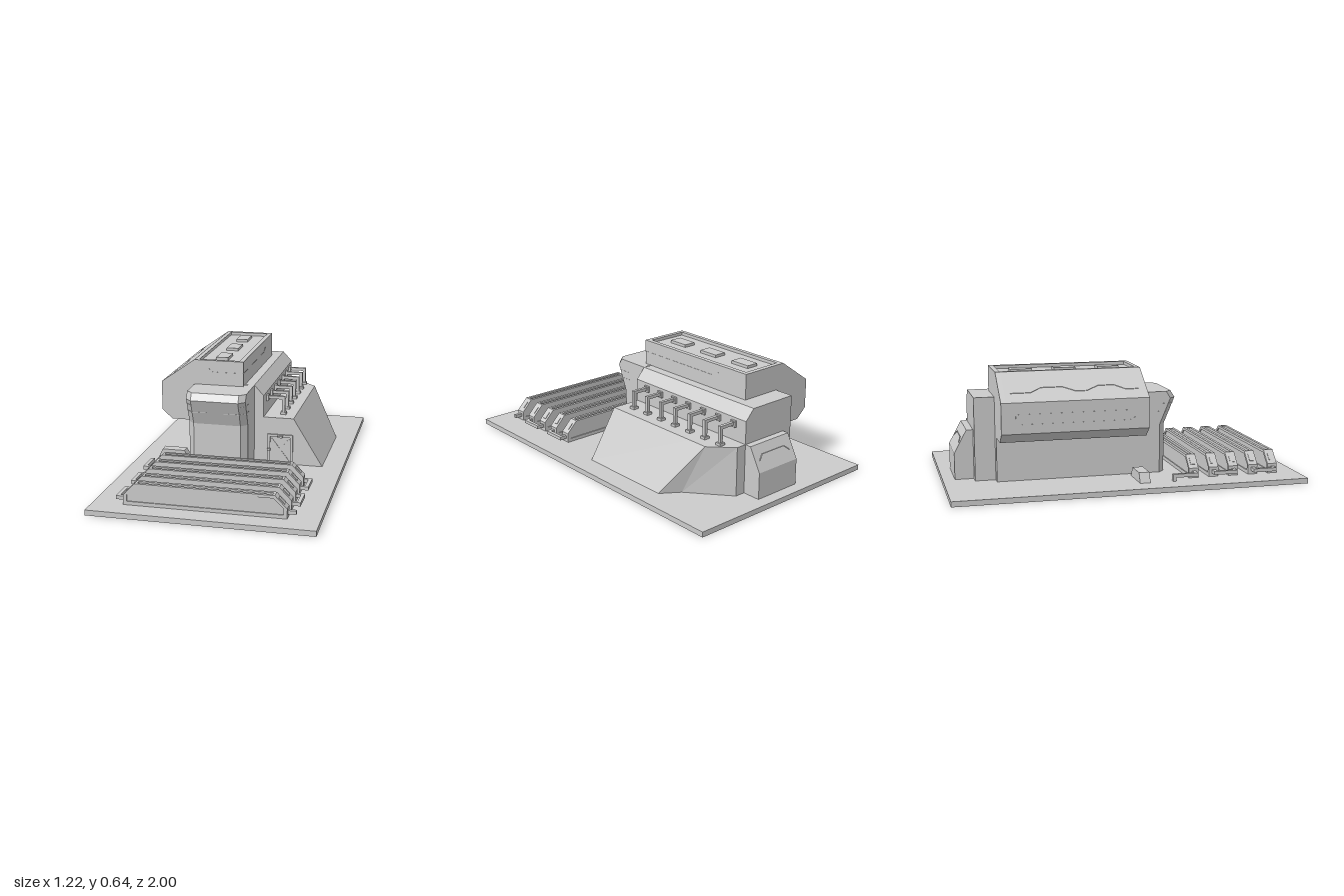
import * as THREE from 'three';

const mat = new THREE.MeshStandardMaterial({ color: 0xcccccc, flatShading: true, side: THREE.DoubleSide });

export function createModel() {
  const root = new THREE.Group();

  const add = (name, geo, parent = root) => {
    const m = new THREE.Mesh(geo, mat);
    m.name = name;
    parent.add(m);
    return m;
  };
  const group = (name) => {
    const g = new THREE.Group();
    g.name = name;
    root.add(g);
    return g;
  };
  const shape = (pts) => new THREE.Shape(pts.map(([x, y]) => new THREE.Vector2(x, y)));
  // box from its limits
  const box = (name, x0, x1, y0, y1, z0, z1, parent) =>
    add(name, new THREE.BoxGeometry(x1 - x0, y1 - y0, z1 - z0), parent)
      .position.set((x0 + x1) / 2, (y0 + y1) / 2, (z0 + z1) / 2);
  // front profile pushed along z, with optional hole
  const extrude = (name, pts, z0, z1, parent, hole) => {
    const s = shape(pts);
    if (hole) s.holes.push(shape(hole));
    const g = new THREE.ExtrudeGeometry(s, { depth: z1 - z0, bevelEnabled: false });
    add(name, g.translate(0, 0, z0), parent);
  };
  // thin flat wall facing front or back
  const wall = (name, pts, z, parent, back) => {
    const g = new THREE.ShapeGeometry(shape(back ? pts.map(([x, y]) => [-x, y]) : pts));
    if (back) g.rotateY(Math.PI);
    add(name, g.translate(0, 0, z), parent);
  };
  const faceted = (pos, idx) => {
    const g = new THREE.BufferGeometry();
    g.setAttribute('position', new THREE.Float32BufferAttribute(pos, 3));
    g.setIndex(idx);
    const flat = g.toNonIndexed();
    flat.computeVertexNormals();
    return flat;
  };
  // thin shell: an open front profile, left to right, carried along z
  const shell = (name, pts, z0, z1, parent) => {
    const pos = [], idx = [];
    pts.forEach(([x, y], i) => {
      pos.push(x, y, z0, x, y, z1);
      if (i) idx.push(2 * i - 2, 2 * i - 1, 2 * i + 1, 2 * i - 2, 2 * i + 1, 2 * i);
    });
    add(name, faceted(pos, idx), parent);
  };
  // walls through plan outlines [y, [[x, z], ...]], capped on top, open below;
  // the side numbered open gets no wall
  const loft = (name, rings, open) => {
    const pos = [], idx = [], n = rings[0][1].length;
    rings.forEach(([y, pts]) => pts.forEach(([x, z]) => pos.push(x, y, z)));
    for (let r = 0; r < rings.length - 1; r++)
      for (let i = 0; i < n; i++) {
        if (i === open) continue;
        const a = r * n + i, b = r * n + (i + 1) % n;
        idx.push(a, b, b + n, a, b + n, a + n);
      }
    const t = (rings.length - 1) * n;
    for (let i = 1; i < n - 1; i++) idx.push(t, t + i, t + i + 1);
    add(name, faceted(pos, idx));
  };
  // square rod following points
  const rod = (name, pts, t, parent) => {
    const v = pts.map((p) => new THREE.Vector3(...p));
    for (let i = 0; i < v.length - 1; i++) {
      const m = add(name, new THREE.BoxGeometry(t, t, v[i].distanceTo(v[i + 1]) + t * 0.9), parent);
      m.position.copy(v[i]).lerp(v[i + 1], 0.5);
      m.lookAt(v[i + 1]);
    }
  };
  const rect = (x0, x1, z0, z1) => [[x0, z1], [x1, z1], [x1, z0], [x0, z0]];

  // ground plate, open under the hollow building and the radiators
  const barZ = [0.378, 0.497, 0.615, 0.734, 0.853];
  const plate = shape([[-0.61, -1], [0.61, -1], [0.61, 1], [-0.61, 1]]);
  const footprint = [[-0.26, -0.71], [-0.21, -0.71], [-0.21, -0.825], [-0.15, -0.825], [-0.15, -0.932],
    [0.14, -0.932], [0.14, -0.825], [0.2, -0.825], [0.385, -0.6], [0.49, -0.53], [0.49, 0.055], [0.085, 0.055],
    [0.085, 0.23], [0.05, 0.265], [-0.225, 0.265], [-0.26, 0.23]];
  plate.holes.push(shape(footprint.map(([x, z]) => [x, -z])));
  plate.holes.push(shape(rect(-0.47, -0.32, -0.1, -0.06)));
  barZ.forEach((z) => plate.holes.push(shape(rect(-0.43, 0.43, -z - 0.02, -z + 0.02))));
  add('groundPlate', new THREE.ExtrudeGeometry(plate, { depth: 0.03, bevelEnabled: false }).rotateX(-Math.PI / 2));

  // main hall with a chamfered right shoulder, one hollow space with its neighbours
  const shoulder = [[0.085, 0.5], [0.14, 0.44], [0.14, 0.31]];
  shell('hallShoulder', [[0.03, 0.5], ...shoulder], -0.71, 0.06);
  shell('hallRear', [[-0.21, 0.03], [-0.21, 0.5], ...shoulder], -0.825, -0.71);
  wall('hallBackWall', [[-0.21, 0.03], [0.14, 0.03], [0.14, 0.44], [0.085, 0.5], [-0.21, 0.5]], -0.825, root, true);
  wall('hallFrontWall', [[0.085, 0.03], [0.14, 0.03], [0.14, 0.44], [0.085, 0.5]], 0.06);

  // rear lean-to with sloped roof
  loft('rearHousing', [
    [0.03, rect(-0.15, 0.14, -0.932, -0.825)],
    [0.18, rect(-0.15, 0.14, -0.932, -0.825)],
    [0.31, rect(-0.15, 0.14, -0.862, -0.825)]], 0);
  rod('rearSeam', [[-0.12, 0.235, -0.903], [-0.09, 0.26, -0.89], [0.08, 0.26, -0.89], [0.11, 0.235, -0.903]], 0.003);

  // front tower: chamfered corners, leaning brow, open towards the hall
  const towerPlan = (zf) => [[-0.225, zf], [0.05, zf], [0.085, zf - 0.035],
    [0.085, 0.06], [-0.26, 0.11], [-0.26, zf - 0.035]];
  loft('frontTower', [[0.03, towerPlan(0.265)], [0.31, towerPlan(0.265)],
    [0.46, towerPlan(0.328)], [0.5, towerPlan(0.303)]], 3);
  for (const s of [-1, 1]) {
    const x = (d) => -0.0875 + s * d;
    rod('towerVisor', [[x(0.1725), 0.43, 0.2], [x(0.1725), 0.43, 0.28], [x(0.1375), 0.43, 0.315]], 0.003);
    rod('towerVisor', [[x(0.1725), 0.385, 0.2], [x(0.1725), 0.385, 0.2615], [x(0.1375), 0.385, 0.2965],
      [x(0.05), 0.385, 0.2965]], 0.003);
  }

  // sloped side wing with a creased rear corner, open towards the hall
  loft('sideWing', [
    [0.03, [[0.14, 0.055], [0.49, 0.055], [0.49, -0.53], [0.385, -0.6], [0.2, -0.825], [0.14, -0.825]]],
    [0.31, [[0.14, 0.055], [0.317, 0.055], [0.317, -0.585], [0.317, -0.705], [0.2, -0.825], [0.14, -0.825]]]], 5);

  // door with frame, cross bracing, lamp and handle
  const door = group('door');
  extrude('doorFrame', [[0.165, 0.03], [0.315, 0.03], [0.315, 0.21], [0.165, 0.21]], 0.05, 0.064, door,
    [[0.18, 0.035], [0.3, 0.035], [0.3, 0.195], [0.18, 0.195]]);
  rod('doorBrace', [[0.19, 0.05, 0.055], [0.29, 0.18, 0.055]], 0.007, door);
  rod('doorBrace', [[0.29, 0.05, 0.055], [0.19, 0.18, 0.055]], 0.007, door);
  box('doorLamp', 0.228, 0.256, 0.196, 0.207, 0.055, 0.084, door);
  box('doorHandle', 0.165, 0.182, 0.11, 0.125, 0.06, 0.075, door);

  // row of elbow pipes between hall and wing
  for (let i = 0; i < 7; i++) {
    const z = -0.034 - i * 0.1175, pipe = group('elbowPipe');
    box('wallFlange', 0.138, 0.153, 0.388, 0.424, z - 0.017, z + 0.017, pipe);
    box('horizontalPipe', 0.15, 0.25, 0.4, 0.418, z - 0.009, z + 0.009, pipe);
    box('verticalPipe', 0.232, 0.25, 0.32, 0.4, z - 0.009, z + 0.009, pipe);
    box('footFlange', 0.224, 0.258, 0.308, 0.325, z - 0.017, z + 0.017, pipe);
  }

  // overhanging upper body: a shell over the left wall, its roof recessed inside a rim
  const upper = group('upperBody');
  const left = [[-0.26, 0.03], [-0.26, 0.28], [-0.4, 0.28], [-0.46, 0.335], [-0.46, 0.505], [-0.26, 0.645]];
  const right = [[0.03, 0.645], [0.03, 0.5]];
  const recess = [[-0.235, 0.645], [-0.235, 0.627], [0.003, 0.627], [0.003, 0.645]];
  shell('upperFrontRim', [...left, ...right], 0.085, 0.11, upper);
  shell('upperMiddle', [...left, ...recess, ...right], -0.683, 0.085, upper);
  shell('upperRearRim', [...left, ...right], -0.71, -0.683, upper);
  wall('recessEnd', recess, 0.085, upper, true);
  wall('recessEnd', recess, -0.683, upper);
  wall('upperFrontWall', [...left.slice(1), ...right, [-0.26, 0.5]], 0.11, upper);
  wall('upperBackWall', [...left, ...right, [-0.21, 0.5], [-0.21, 0.03]], -0.71, upper, true);
  for (const z of [-0.55, -0.3, -0.048]) box('roofHatch', -0.155, -0.083, 0.625, 0.643, z - 0.062, z + 0.062, upper);
  rod('frontSeam', [[-0.18, 0.6, 0.11], [-0.15, 0.576, 0.11], [0.03, 0.576, 0.11], [0.03, 0.576, -0.45],
    [0.03, 0.6, -0.5]], 0.003, upper);
  const wave = [[-0.4, -0.65], [-0.4, -0.54], [-0.37, -0.48], [-0.37, -0.36], [-0.4, -0.29],
    [-0.4, -0.23], [-0.37, -0.16], [-0.37, -0.07], [-0.4, -0.01], [-0.4, 0.06]];
  rod('slopeSeam', wave.map(([x, z]) => [x, 0.827 + 0.7 * x, z]), 0.003, upper);
  const slot = [[0.44, 0.03], [0.4, 0.03], [0.385, 0], [0.385, -0.6], [0.42, -0.63], [0.44, -0.63], [0.44, 0.03]];
  rod('sideSlot', slot.map(([y, z]) => [-0.46, y, z]), 0.003, upper);

  // low ground box with sloped ends beside the hall
  extrude('groundBox', [[-0.49, 0.03], [-0.3, 0.03], [-0.33, 0.085], [-0.465, 0.085]], 0.05, 0.11);

  // radiator bars with recessed faces and a groove along the top
  const bars = group('radiators');
  const foot = [[-0.44, 0.03], [0.44, 0.03], [0.44, 0.085], [0.375, 0.152]];
  const outer = [...foot, [-0.375, 0.152], [-0.44, 0.085]];
  const grooved = [...foot, [0.363, 0.152], [0.363, 0.138], [-0.363, 0.138], [-0.363, 0.152], [-0.375, 0.152], [-0.44, 0.085]];
  const inner = [[-0.42, 0.05], [0.42, 0.05], [0.42, 0.085], [0.368, 0.136], [-0.368, 0.136], [-0.42, 0.085]];
  for (const z of barZ) {
    extrude('barCore', grooved, z - 0.011, z + 0.011, bars);
    for (const s of [-1, 1]) {
      const rail = z + s * 0.0165, face = z + s * 0.025;
      extrude('barRail', outer, rail - 0.0055, rail + 0.0055, bars);
      extrude('barFaceFrame', outer, face - 0.003, face + 0.003, bars, inner);
      const cap = add('barEndCap', new THREE.BoxGeometry(0.045, 0.006, 0.026), bars);
      cap.position.set(s * 0.4075, 0.119, z);
      cap.rotation.z = -s * 0.8;
    }
  }

  // pipe run winding from bar to bar
  const y = 0.06, t = 0.02, pipes = group('pipeRun');
  rod('inletPipe', [[-0.483, 0.03, 0.25], [-0.483, y, 0.25], [-0.483, y, barZ[0]], [-0.43, y, barZ[0]]], t, pipes);
  for (let i = 0; i < 4; i++) {
    const s = i % 2 ? -1 : 1;
    rod('linkPipe', [[s * 0.43, y, barZ[i]], [s * 0.475, y, barZ[i]],
      [s * 0.475, y, barZ[i + 1]], [s * 0.43, y, barZ[i + 1]]], t, pipes);
  }
  rod('outletPipe', [[0.43, y, barZ[4]], [0.475, y, barZ[4]]], t, pipes);
  return root;
}
